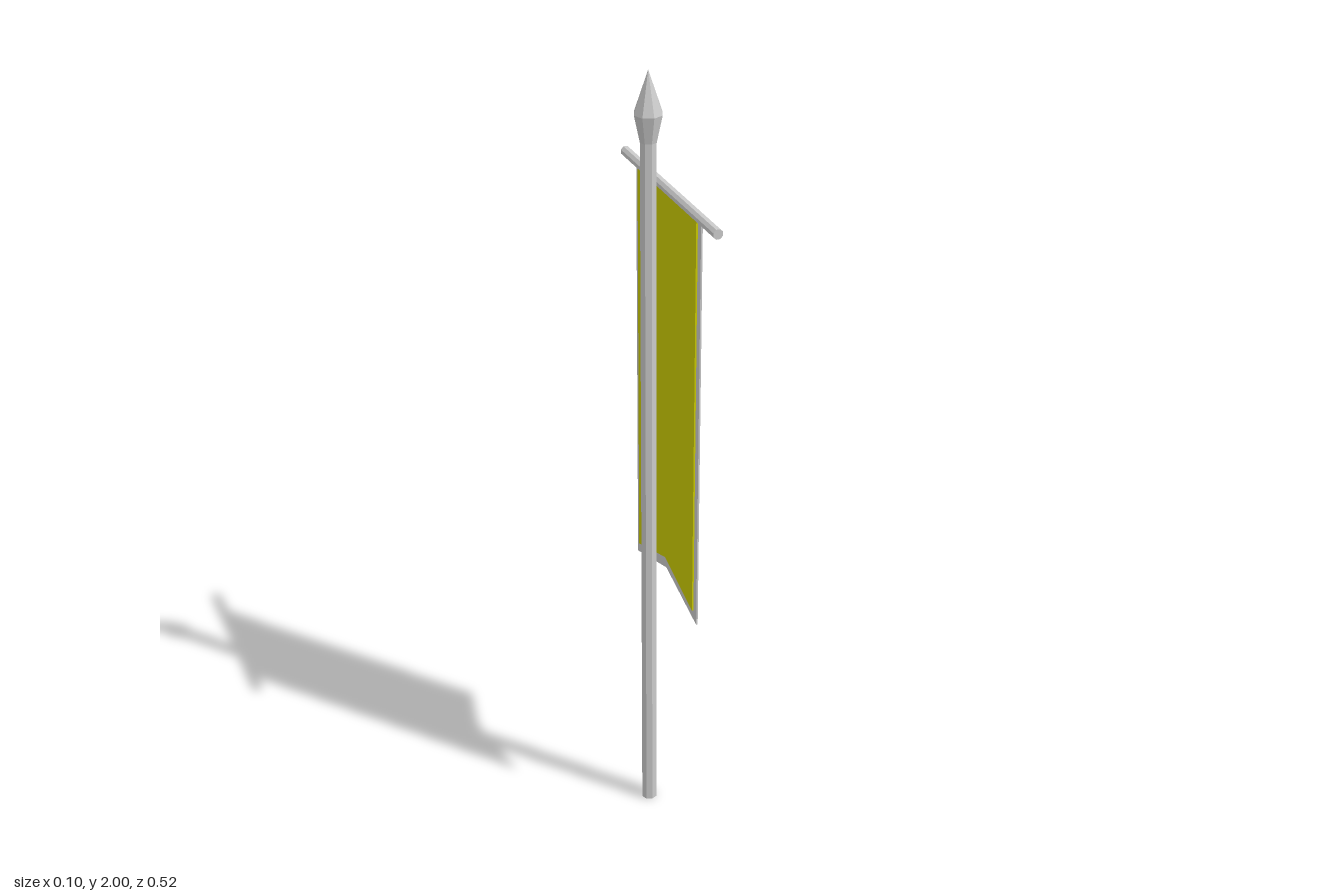
import * as THREE from 'three';

const SIDES = 8;
const POLE_X = -0.015;

export function createModel() {
  const model = new THREE.Group();
  model.name = 'bannerPole';
  const grey = new THREE.MeshStandardMaterial({ color: 0xcccccc, flatShading: true });
  const yellow = new THREE.MeshStandardMaterial({ color: 0xcccc00, flatShading: true });

  const add = (name, geometry, material, x, y) => {
    const mesh = new THREE.Mesh(geometry, material);
    mesh.name = name;
    mesh.position.set(x, y, 0);
    model.add(mesh);
    return mesh;
  };

  // Octagonal pole
  add('pole', new THREE.CylinderGeometry(0.02, 0.02, 1.84, SIDES), grey, POLE_X, 0.92);

  // Faceted spear tip: flared socket, then a long point
  const tip = [[0, 1.835], [0.02, 1.835], [0.034, 1.9], [0, 2]].map(([r, y]) => new THREE.Vector2(r, y));
  add('spearTip', new THREE.LatheGeometry(tip, SIDES), grey, POLE_X, 0);

  // Crossbar running front to back
  const bar = new THREE.CylinderGeometry(0.0125, 0.0125, 0.516, SIDES);
  bar.rotateY(Math.PI / 8).rotateX(Math.PI / 2);
  add('crossbar', bar, grey, 0.037, 1.71);

  // Upright cloth panel with a notched lower edge
  const panel = (halfWidth, top, corner, notch, thickness) => {
    const shape = new THREE.Shape([
      [-halfWidth, top], [-halfWidth, corner], [0, notch], [halfWidth, corner], [halfWidth, top],
    ].map(([u, y]) => new THREE.Vector2(u, y)));
    return new THREE.ExtrudeGeometry(shape, { depth: thickness, bevelEnabled: false })
      .translate(0, 0, -thickness / 2)
      .rotateY(Math.PI / 2);
  };
  add('bannerBorder', panel(0.181, 1.705, 0.648, 0.705, 0.004), grey, 0.034, 0);
  add('bannerCloth', panel(0.164, 1.704, 0.68, 0.737, 0.012), yellow, 0.034, 0);

  return model;
}
